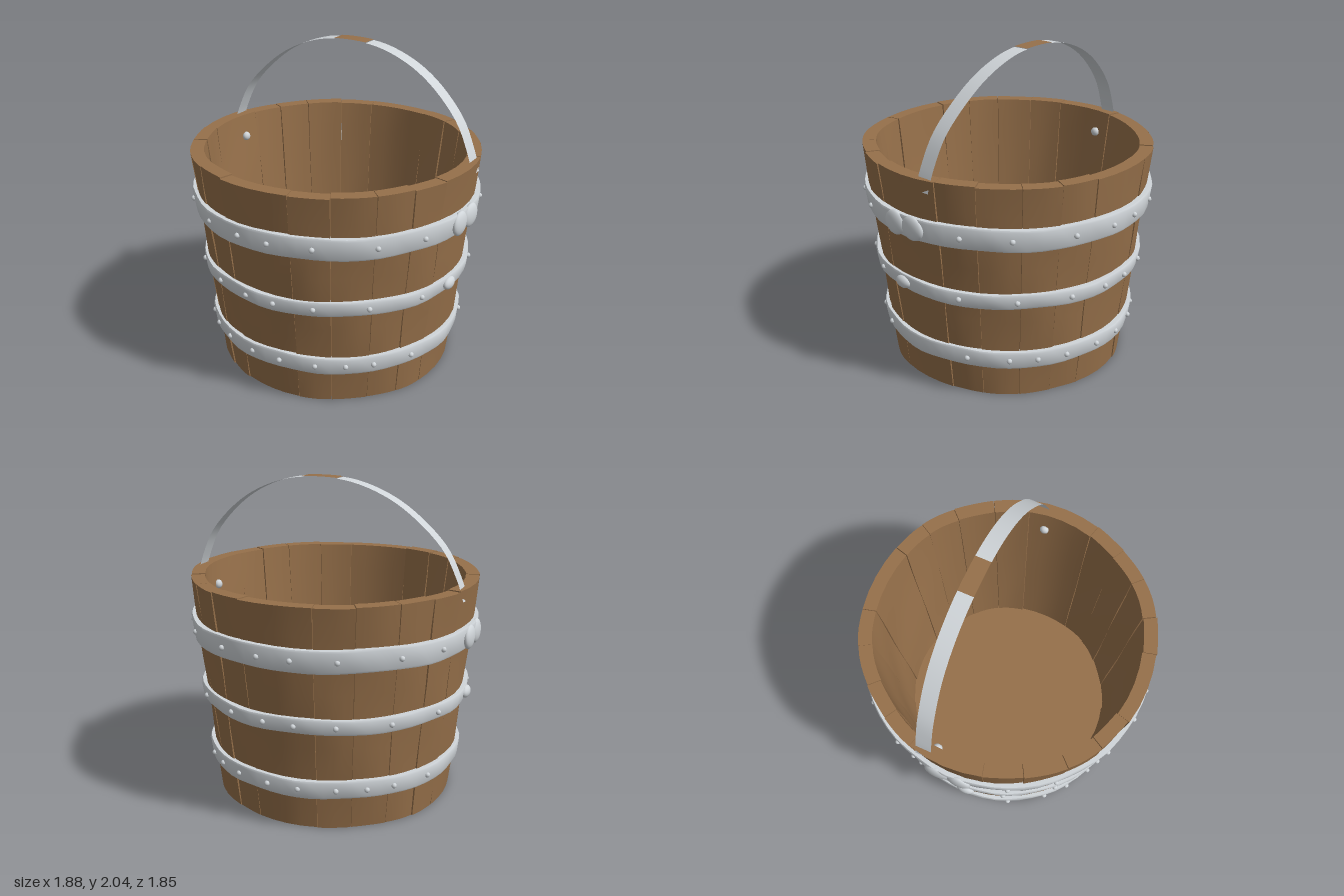
import * as THREE from 'three';
import { toCreasedNormals } from 'three/addons/utils/BufferGeometryUtils.js';

const DEG = Math.PI / 180;
const wood = new THREE.MeshStandardMaterial({ color: 0x96704a });
wood.name = 'wood';
const metal = new THREE.MeshStandardMaterial({ color: 0xd0d5d9 });
metal.name = 'metal';

const HEIGHT = 1.415;
const outerRadius = (y) => 0.762 + 0.106 * y;
const wobble = (n) => Math.sin(n * 12.9898) * 0.5 + Math.sin(n * 4.37) * 0.5;

// Move every vertex of a geometry by a rule
function bend(geometry, rule) {
  const p = geometry.attributes.position;
  const v = new THREE.Vector3();
  for (let i = 0; i < p.count; i++) {
    v.fromBufferAttribute(p, i);
    rule(v);
    p.setXYZ(i, v.x, v.y, v.z);
  }
  geometry.computeVertexNormals();
  return geometry;
}

function add(parent, name, geometry, material) {
  const mesh = new THREE.Mesh(geometry, material);
  mesh.name = name;
  parent.add(mesh);
  return mesh;
}

// One tapered plank between two angles measured from the front
function staveGeometry(a0, a1, n) {
  const top = HEIGHT + 0.006 * wobble(n);
  const shift = 0.006 * wobble(n + 31);
  return bend(new THREE.BoxGeometry(1, 1, 1, 4, 8, 1), (v) => {
    const a = THREE.MathUtils.lerp(a0 + 0.002, a1 - 0.002, v.x + 0.5);
    const y = (v.y + 0.5) * top;
    const lump = 0.004 * Math.sin(y * 7 + n * 2 + v.x * 3);
    const r = outerRadius(y) + shift + lump - (0.5 - v.z) * 0.085;
    v.set(Math.sin(a) * r, y, Math.cos(a) * r);
  });
}

// Hoop hugging the staves, slightly hammered
function hoopGeometry(y0, y1, lift, n) {
  const r0 = outerRadius(y0), r1 = outerRadius(y1);
  const profile = [
    [r0 - 0.02, y0], [r0 + lift - 0.006, y0], [r0 + lift, y0 + 0.012],
    [r1 + lift, y1 - 0.012], [r1 + lift - 0.006, y1], [r1 - 0.02, y1], [r0 - 0.02, y0],
  ].map(([x, y]) => new THREE.Vector2(x, y));
  const g = bend(new THREE.LatheGeometry(profile, 60), (v) => {
    const a = Math.atan2(v.x, v.z);
    const k = 1 + 0.003 * Math.sin(11 * a + n) + 0.002 * Math.sin(17 * a + v.y * 30);
    v.x *= k;
    v.z *= k;
    v.y += 0.004 * Math.sin(7 * a + n * 2);
  });
  return toCreasedNormals(g, 0.7);
}

// Curved strap section between two parameters of the handle curve
function strapGeometry(curve, u0, u1, width, thickness) {
  return bend(new THREE.BoxGeometry(1, 1, 1, 24, 1, 1), (v) => {
    const u = THREE.MathUtils.lerp(u0, u1, v.x + 0.5);
    const p = curve.getPoint(u), t = curve.getTangent(u);
    const n = new THREE.Vector3(-t.y, t.x, 0).normalize();
    const w = v.z * width;
    v.copy(p).addScaledVector(n, v.y * thickness);
    v.z += w;
  });
}

export function createModel() {
  const model = new THREE.Group();
  model.name = 'bucket';

  // Staves: one wide and four narrow planks in each quarter
  const staves = new THREE.Group();
  staves.name = 'staves';
  model.add(staves);
  const edges = [-14.7, 14.7, 30, 46.5, 61, 75.3];
  let n = 0;
  for (let q = 0; q < 4; q++) {
    for (let i = 0; i < 5; i++) {
      const g = staveGeometry((edges[i] + q * 90) * DEG, (edges[i + 1] + q * 90) * DEG, n++);
      add(staves, 'stave', g, wood);
    }
  }

  // Recessed floor
  add(model, 'floor', new THREE.CylinderGeometry(0.715, 0.705, 0.09, 48), wood).position.y = 0.105;

  // Hoops with their rivets
  const rivet = new THREE.SphereGeometry(0.017, 10, 6);
  const hoops = [
    { name: 'topHoop', y0: 1.03, y1: 1.17, lift: 0.034, rivets: [6.5, 23.5, 47, 66] },
    { name: 'middleHoop', y0: 0.64, y1: 0.735, lift: 0.03, rivets: [6.5, 23, 45, 68] },
    { name: 'bottomHoop', y0: 0.215, y1: 0.33, lift: 0.03, rivets: [7, 23, 36, 48, 66] },
  ];
  hoops.forEach(({ name, y0, y1, lift, rivets }, h) => {
    const group = new THREE.Group();
    group.name = name;
    model.add(group);
    add(group, 'band', hoopGeometry(y0, y1, lift, h * 1.7), metal);
    const y = (y0 + y1) / 2;
    const r = outerRadius(y) + lift + 0.002;
    for (const deg of rivets) {
      for (const a of [deg, -deg, 180 - deg, 180 + deg]) {
        add(group, 'rivet', rivet, metal).position.set(Math.sin(a * DEG) * r, y, Math.cos(a * DEG) * r);
      }
    }
  });

  // Side lugs on the hoops: x radius, y, z, half height, half width
  const lugs = [
    [0.908, 1.1, 0.075, 0.077, 0.08],
    [0.908, 1.1, -0.07, 0.075, 0.085],
    [0.862, 0.69, 0.08, 0.04, 0.06],
  ];
  for (const side of [1, -1]) {
    for (const [x, y, z, hy, hz] of lugs) {
      const lug = add(model, 'lug', new THREE.SphereGeometry(1, 20, 12), metal);
      lug.position.set(side * x, y, z);
      lug.scale.set(0.03, hy, hz);
    }
    // Handle bolt on the inner wall
    const bolt = add(model, 'handleBolt', new THREE.SphereGeometry(1, 12, 8), metal);
    bolt.position.set(side * 0.802, 1.27, -0.1);
    bolt.scale.set(0.025, 0.03, 0.03);
  }

  // Handle strap with a wooden grip in the middle
  const half = [
    [0.865, 1.33, -0.145], [0.82, 1.46, -0.152], [0.73, 1.63, -0.165],
    [0.57, 1.79, -0.185], [0.4, 1.9, -0.195], [0.2, 1.97, -0.2],
  ];
  const points = [
    ...half.map(([x, y, z]) => new THREE.Vector3(-x, y, z)),
    new THREE.Vector3(0, 1.987, -0.201),
    ...half.map(([x, y, z]) => new THREE.Vector3(x, y, z)).reverse(),
  ];
  const curve = new THREE.CatmullRomCurve3(points, false, 'catmullrom', 0.5);
  const handle = new THREE.Group();
  handle.name = 'handle';
  model.add(handle);
  add(handle, 'rightStrap', strapGeometry(curve, 0, 0.454, 0.1, 0.024), metal);
  add(handle, 'grip', strapGeometry(curve, 0.454, 0.546, 0.1, 0.026), wood);
  add(handle, 'leftStrap', strapGeometry(curve, 0.546, 1, 0.1, 0.024), metal);

  return model;
}
